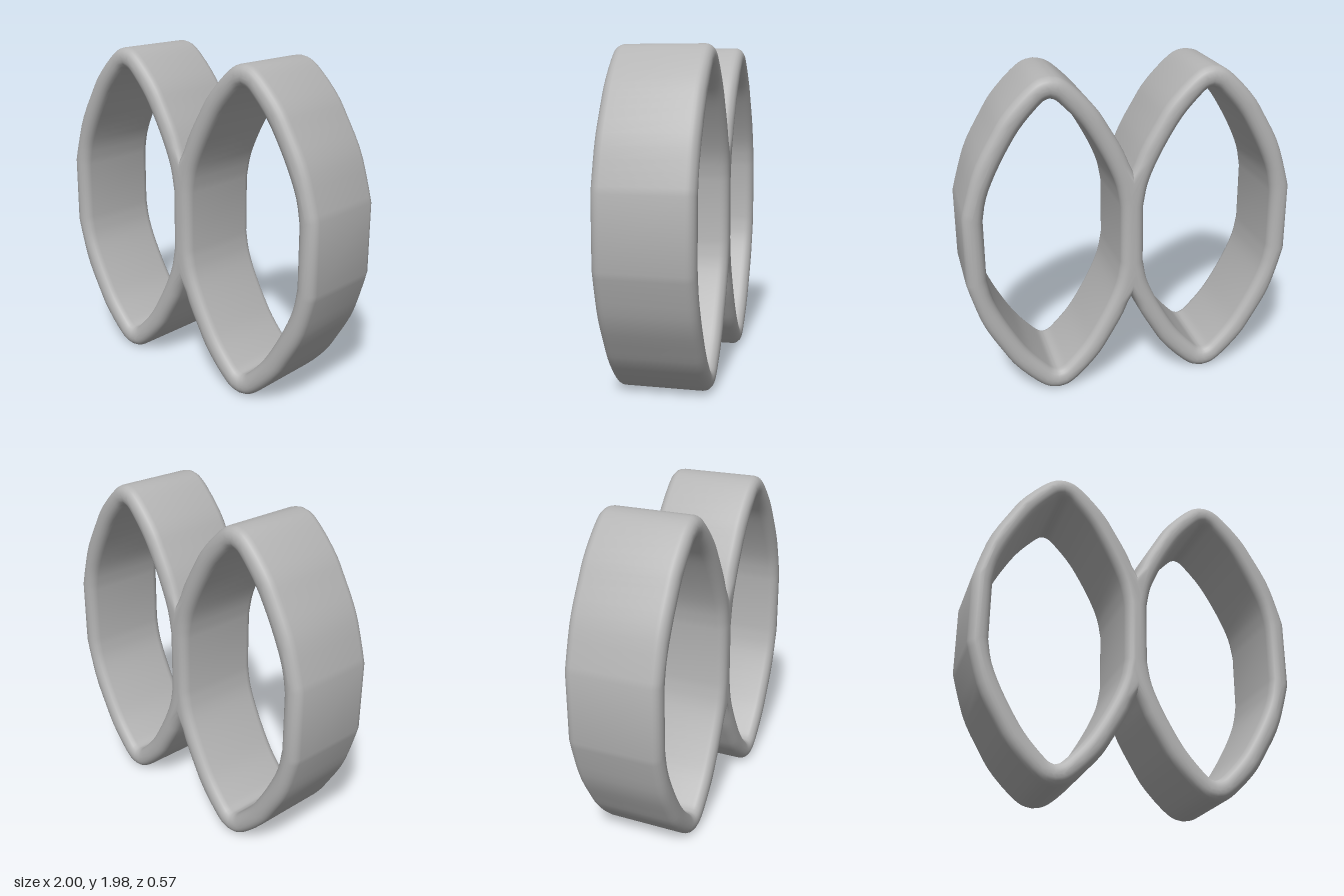
import * as THREE from 'three';
import { toCreasedNormals } from 'three/addons/utils/BufferGeometryUtils.js';

const MID_Y = 0.99;   // height of the horizontal mirror plane
const RING_X = 0.475; // centre of each ring
const DEPTH = 0.57;
const ROUND = 0.055;  // radius of the rounded rims

// Upper right quarter of the ring: [offset from ring centre, y], from side to tip
const OUTER = [[0.525, 1.2], [0.495, 1.31], [0.435, 1.49], [0.335, 1.67], [0.265, 1.78], [0.125, 1.925], [0.06, 1.968], [0, 1.98]];
const INNER = [[0.405, 1.17], [0.38, 1.3], [0.325, 1.435], [0.235, 1.6], [0.165, 1.705], [0.07, 1.81], [0.03, 1.845], [0, 1.855]];

// Smooth the quarter profile
function quarter(points) {
  const curve = new THREE.CatmullRomCurve3(points.map(([x, y]) => new THREE.Vector3(x, y, 0)), false, 'centripetal');
  return curve.getPoints(20).map((p) => new THREE.Vector2(p.x, p.y));
}

const mirror = (points, mx, my) =>
  points.map((p) => new THREE.Vector2(mx ? -p.x : p.x, my ? 2 * MID_Y - p.y : p.y)).reverse();

// Hole of one ring, counter-clockwise from the right side
function holePath(side) {
  const q = quarter(INNER);
  const top = [...q, ...mirror(q, true, false).slice(1)];
  const loop = [...top, ...mirror(top, false, true)];
  return new THREE.Path(loop.map((p) => new THREE.Vector2(p.x + side * RING_X, p.y)));
}

// Joined outline of both rings, meeting in a valley at x = 0
function outlineShape() {
  const q = quarter(OUTER);
  const arch = [...q, ...mirror(q, true, false).slice(1)]
    .map((p) => new THREE.Vector2(p.x + RING_X, p.y))
    .filter((p) => p.x > 0.012);
  const top = [...arch, new THREE.Vector2(0, 1.395), ...mirror(arch, true, false)];
  return new THREE.Shape([...top, ...mirror(top, false, true)]);
}

export function createModel() {
  const model = new THREE.Group();
  model.name = 'doubleRing';

  const grey = new THREE.MeshStandardMaterial({ color: 0xb4b4b4 });
  grey.name = 'grey';

  // Both bands in one piece, with rounded rims
  const shape = outlineShape();
  shape.holes.push(holePath(1), holePath(-1));
  const depth = DEPTH - 2 * ROUND;
  const geometry = new THREE.ExtrudeGeometry(shape, {
    depth, steps: 1, bevelEnabled: true, bevelThickness: ROUND,
    bevelSize: ROUND, bevelOffset: -ROUND, bevelSegments: 5,
  });
  geometry.translate(0, 0, -depth / 2);

  const bands = new THREE.Mesh(toCreasedNormals(geometry, 0.7), grey);
  bands.name = 'joinedBands';
  model.add(bands);
  return model;
}
